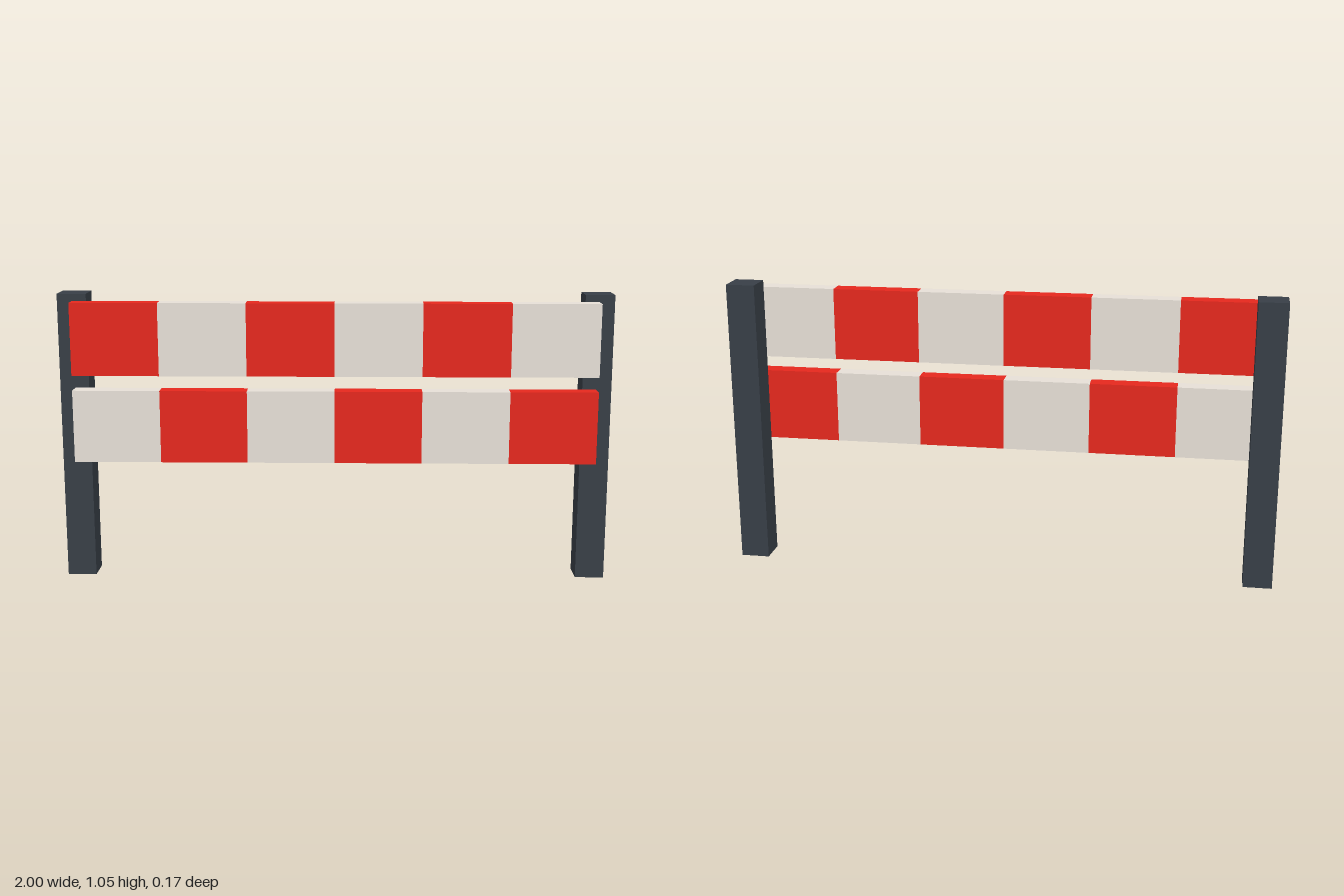
import * as THREE from 'three';

const POST = { width: 0.105, height: 1.053, depth: 0.105 };
const BOARD = { length: 1.89, height: 0.263, depth: 0.063, panels: 6 };
const JOINT_Z = 0.021; // plane where the boards meet the posts

export function createModel() {
  const red = new THREE.MeshStandardMaterial({ name: 'signal red', color: 0xe6281e });
  const white = new THREE.MeshStandardMaterial({ name: 'warm white', color: 0xe8e1d8 });
  const grey = new THREE.MeshStandardMaterial({ name: 'dark grey', color: 0x383f47 });

  const model = new THREE.Group();
  model.name = 'barrier';

  // Two square posts
  const postGeometry = new THREE.BoxGeometry(POST.width, POST.height, POST.depth);
  for (const side of [1, -1]) {
    const post = new THREE.Mesh(postGeometry, grey);
    post.name = side > 0 ? 'leftPost' : 'rightPost';
    post.position.set(side * (1 - POST.width / 2), POST.height / 2, JOINT_Z - POST.depth / 2);
    model.add(post);
  }

  // Striped boards, each a row of alternating panels
  const panelWidth = BOARD.length / BOARD.panels;
  const panelGeometry = new THREE.BoxGeometry(panelWidth, BOARD.height, BOARD.depth);
  function addBoard(name, y, colors) {
    const board = new THREE.Group();
    board.name = name;
    board.position.set(0, y, JOINT_Z + BOARD.depth / 2);
    for (let i = 0; i < BOARD.panels; i++) {
      const panel = new THREE.Mesh(panelGeometry, colors[i % 2]);
      panel.name = `${name}Panel${i + 1}`;
      panel.position.x = (i + 0.5) * panelWidth - BOARD.length / 2;
      board.add(panel);
    }
    model.add(board);
  }
  addBoard('upperBoard', 0.8965, [red, white]);
  addBoard('lowerBoard', 0.5795, [white, red]);

  return model;
}
